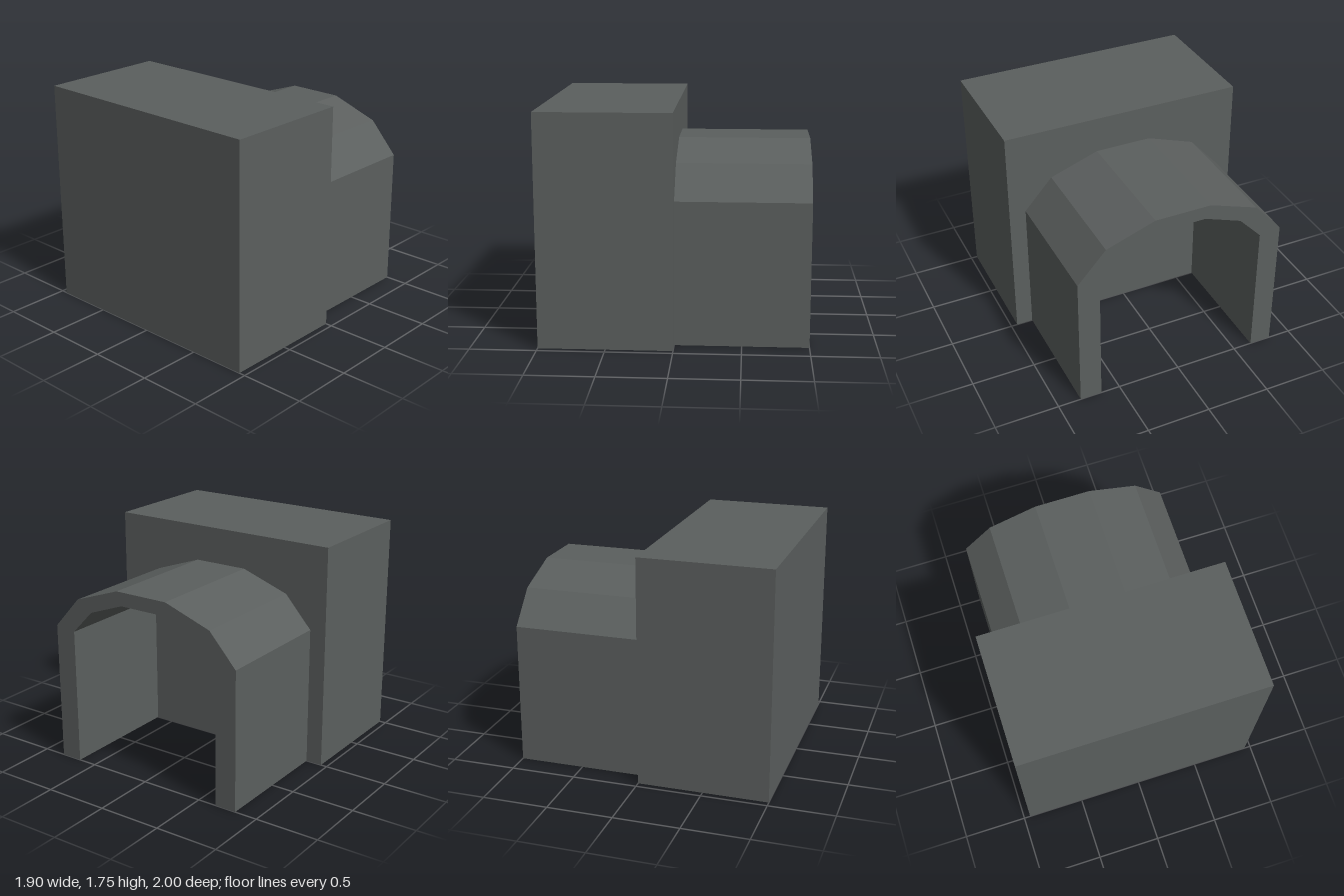
import * as THREE from 'three';

export function createModel() {
  const group = new THREE.Group();
  const grey = new THREE.MeshStandardMaterial({ color: 0x5b5f5e });
  grey.name = 'dark grey';

  // Solid front block
  const block = new THREE.Mesh(new THREE.BoxGeometry(1.9, 1.75, 1), grey);
  block.name = 'frontBlock';
  block.position.set(0, 0.875, 0.5);
  group.add(block);

  // Faceted arch, open underneath and at the back
  const outer = [[0.82, 0], [0.82, 1.09], [0.6, 1.335], [0.22, 1.468]];
  const inner = [[0.65, 0], [0.65, 1.07], [0.472, 1.255], [0.18, 1.362]];
  const mirror = (side) => side.map(([x, y]) => [-x, y]).reverse();
  const outline = [
    ...outer, ...mirror(outer),
    ...[...inner, ...mirror(inner)].reverse(),
  ].map(([x, y]) => new THREE.Vector2(x, y));

  const arch = new THREE.Mesh(
    new THREE.ExtrudeGeometry(new THREE.Shape(outline), { depth: 1, bevelEnabled: false }),
    grey,
  );
  arch.name = 'rearArch';
  arch.position.z = -1;
  group.add(arch);

  return group;
}
